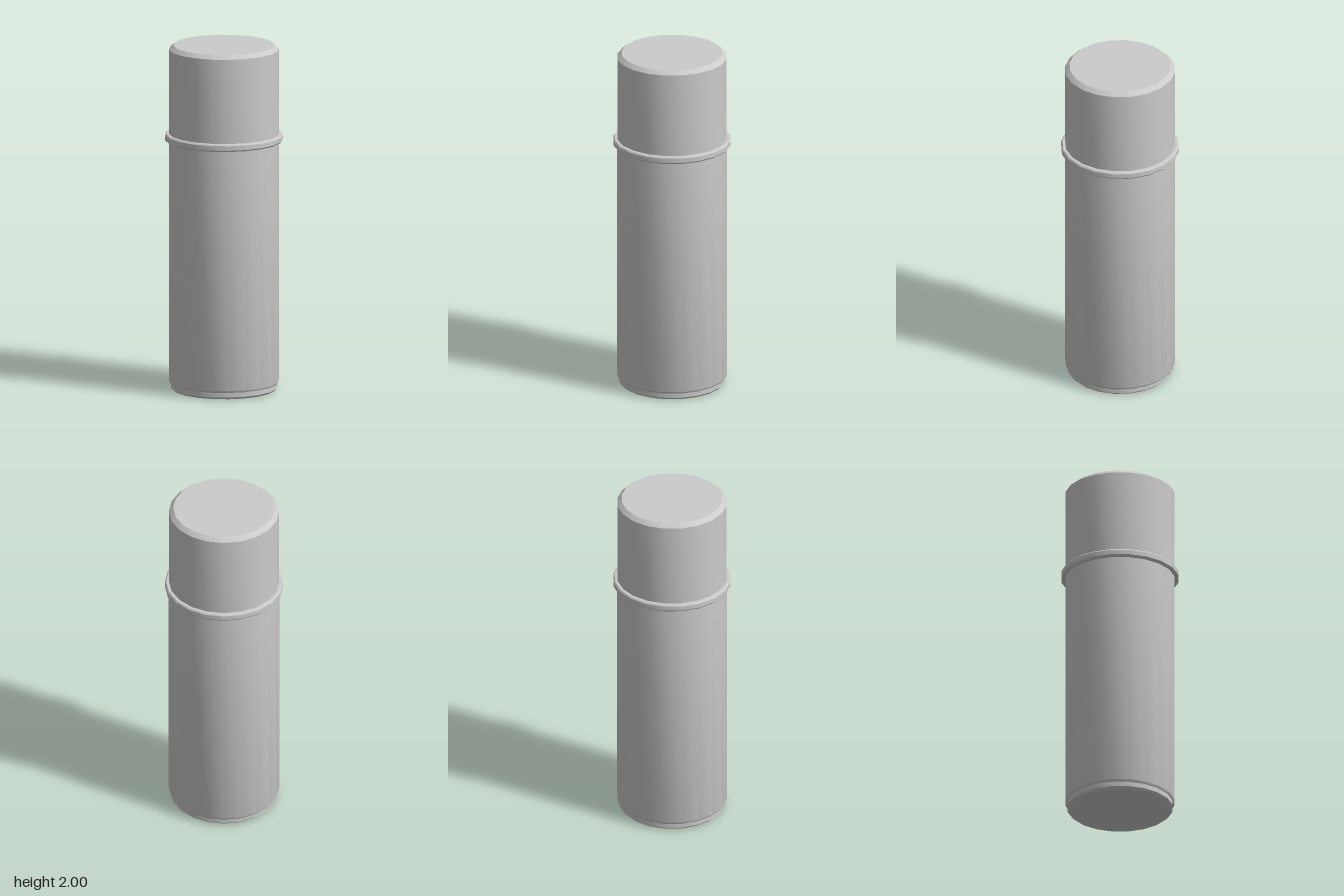
import * as THREE from 'three';
import { toCreasedNormals } from 'three/addons/utils/BufferGeometryUtils.js';

const SIDES = 20;
const material = new THREE.MeshStandardMaterial({ color: 0xcccccc });

// Turned part from [radius, height] pairs, listed bottom to top
function turned(name, profile) {
  const points = profile.map(([r, y]) => new THREE.Vector2(r, y));
  const geometry = toCreasedNormals(new THREE.LatheGeometry(points, SIDES), Math.PI / 6);
  const mesh = new THREE.Mesh(geometry, material);
  mesh.name = name;
  return mesh;
}

export function createModel() {
  const model = new THREE.Group();
  model.name = 'canister';

  // Base plug with a chamfered foot
  model.add(turned('base', [[0, 0], [0.29, 0], [0.303, 0.012], [0.303, 0.045]]));

  // Long main tube with a small chamfer at its lower rim
  model.add(turned('body', [[0.303, 0.04], [0.308, 0.04], [0.315, 0.052], [0.315, 1.45]]));

  // Raised collar between tube and cap
  model.add(turned('collar', [
    [0.31, 1.445], [0.33, 1.445], [0.337, 1.453], [0.337, 1.48], [0.33, 1.488], [0.31, 1.488],
  ]));

  // Cap with a chamfered top edge
  model.add(turned('cap', [[0.314, 1.48], [0.314, 1.977], [0.289, 2], [0, 2]]));

  return model;
}
